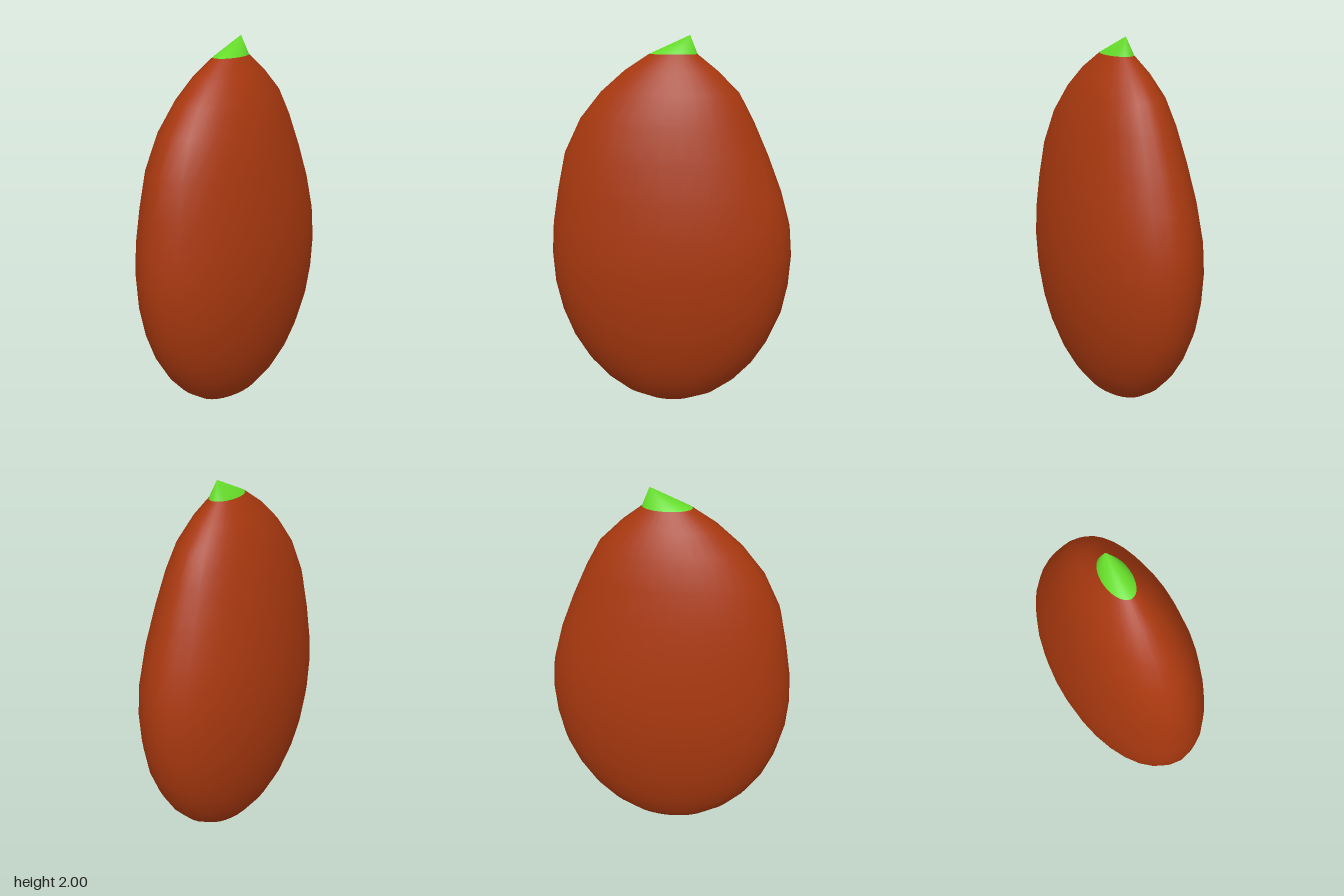
import * as THREE from 'three';
import { mergeVertices } from 'three/addons/utils/BufferGeometryUtils.js';

// Cross-sections from bottom to top: [y, half width in x, front z, back z]
const SECTIONS = [
  [0.003, 0, 0, 0],
  [0.02, 0.07, 0.126, -0.126],
  [0.067, 0.135, 0.247, -0.247],
  [0.147, 0.195, 0.358, -0.358],
  [0.253, 0.248, 0.456, -0.456],
  [0.38, 0.29, 0.536, -0.536],
  [0.53, 0.323, 0.596, -0.6],
  [0.69, 0.343, 0.633, -0.633],
  [0.855, 0.35, 0.645, -0.645],
  [1.02, 0.343, 0.635, -0.632],
  [1.2, 0.323, 0.605, -0.583],
  [1.39, 0.29, 0.565, -0.51],
  [1.57, 0.247, 0.478, -0.43],
  [1.71, 0.195, 0.365, -0.355],
  [1.82, 0.135, 0.24, -0.245],
  [1.905, 0.068, 0.11, -0.138],
  [2, 0, -0.1, -0.1], // tip, leaning back
];
const SEGMENTS = 32;

// Elliptical loft through the sections from index a to index b
function loft(a, b) {
  const positions = [], index = [];
  for (let i = a; i <= b; i++) {
    const [y, rx, front, back] = SECTIONS[i];
    for (let j = 0; j < SEGMENTS; j++) {
      const t = (j / SEGMENTS) * Math.PI * 2;
      positions.push(
        rx * Math.sin(t), y,
        (front + back) / 2 + ((front - back) / 2) * Math.cos(t));
    }
  }
  for (let i = 0; i < b - a; i++) {
    for (let j = 0; j < SEGMENTS; j++) {
      const k = (j + 1) % SEGMENTS;
      const p = i * SEGMENTS + j, q = i * SEGMENTS + k;
      const r = p + SEGMENTS, s = q + SEGMENTS;
      if (SECTIONS[a + i][1] > 0) index.push(p, q, s);
      if (SECTIONS[a + i + 1][1] > 0) index.push(p, s, r);
    }
  }
  const geometry = new THREE.BufferGeometry();
  geometry.setAttribute('position', new THREE.Float32BufferAttribute(positions, 3));
  geometry.setIndex(index);
  const merged = mergeVertices(geometry, 1e-5);
  merged.computeVertexNormals();
  return merged;
}

function addPart(group, name, geometry, color) {
  const mesh = new THREE.Mesh(geometry, new THREE.MeshStandardMaterial({ color }));
  mesh.name = name;
  group.add(mesh);
}

export function createModel() {
  const group = new THREE.Group();
  group.name = 'seed';
  const last = SECTIONS.length - 1;
  // Flattened egg-shaped shell
  addPart(group, 'shell', loft(0, last - 1), 0xa8380f);
  // Small green cone closing the top
  addPart(group, 'sproutTip', loft(last - 1, last), 0x66dd2a);
  return group;
}
